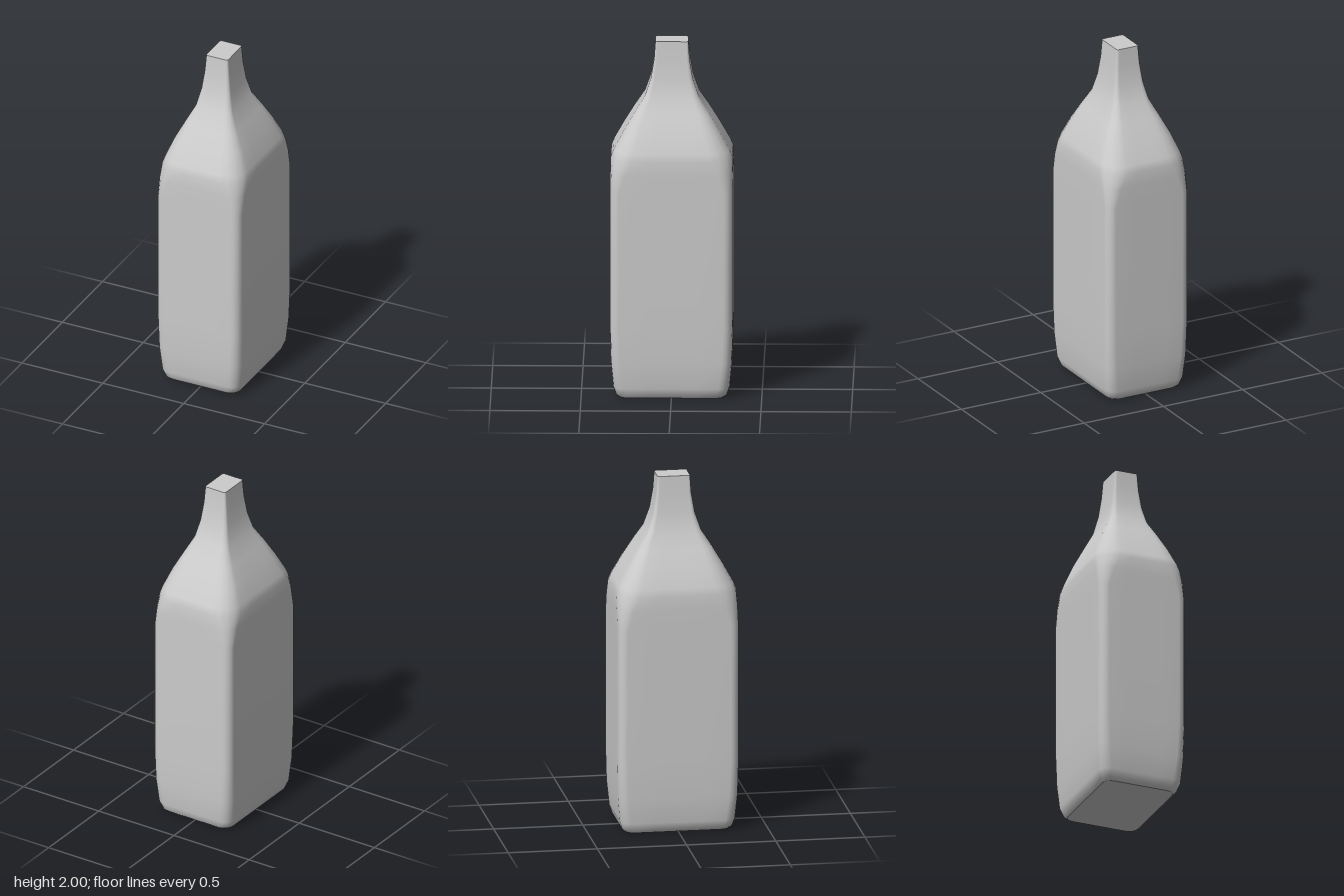
import * as THREE from 'three';

// Horizontal sections from the base up: height, half width, half depth, corner radius
const SECTIONS = [
  [0, 0.21, 0.29, 0.05],
  [0.015, 0.228, 0.307, 0.055],
  [0.06, 0.245, 0.322, 0.06],
  [0.2, 0.255, 0.335, 0.055],
  [0.4, 0.259, 0.339, 0.05],
  [0.8, 0.259, 0.339, 0.05],
  [1.17, 0.259, 0.339, 0.05],
  [1.28, 0.259, 0.339, 0.08],
  [1.36, 0.257, 0.337, 0.115],
  [1.4, 0.246, 0.322, 0.115],
  [1.5, 0.207, 0.267, 0.09],
  [1.6, 0.157, 0.208, 0.06],
  [1.69, 0.112, 0.15, 0.035],
  [1.79, 0.089, 0.116, 0.022],
  [1.9, 0.075, 0.098, 0.015],
  [2, 0.067, 0.091, 0.01],
];
const ARC = 4; // segments per rounded corner
const SIDE = 4; // segments along each flat side

// One rounded rectangle, running from +x towards +z
function ring([y, hx, hz, r]) {
  const corners = [];
  const signs = [[1, 1], [-1, 1], [-1, -1], [1, -1]];
  signs.forEach(([sx, sz], q) => {
    for (let i = 0; i <= ARC; i++) {
      const a = (q + i / ARC) * Math.PI / 2;
      corners.push(new THREE.Vector3(
        sx * (hx - r) + r * Math.cos(a), y, sz * (hz - r) + r * Math.sin(a)));
    }
  });
  const points = [];
  corners.forEach((p, i) => {
    points.push(p);
    if (i % (ARC + 1) === ARC) {
      const next = corners[(i + 1) % corners.length];
      for (let k = 1; k < SIDE; k++) points.push(p.clone().lerp(next, k / SIDE));
    }
  });
  return points;
}

function makeGeometry(positions, index) {
  const geometry = new THREE.BufferGeometry();
  geometry.setAttribute('position', new THREE.Float32BufferAttribute(positions, 3));
  geometry.setIndex(index);
  geometry.computeVertexNormals();
  return geometry;
}

// Smooth skin through all the sections
function loft(rings) {
  const n = rings[0].length;
  const index = [];
  for (let j = 0; j < rings.length - 1; j++) {
    for (let i = 0; i < n; i++) {
      const a = j * n + i, b = j * n + (i + 1) % n;
      index.push(a, a + n, b, b, a + n, b + n);
    }
  }
  return makeGeometry(rings.flat().flatMap((p) => p.toArray()), index);
}

// Flat fan closing one end
function cap(points, up) {
  const n = points.length;
  const index = [];
  for (let i = 0; i < n; i++) {
    const j = (i + 1) % n;
    index.push(n, up ? j : i, up ? i : j);
  }
  return makeGeometry([...points.flatMap((p) => p.toArray()), 0, points[0].y, 0], index);
}

export function createModel() {
  const model = new THREE.Group();
  model.name = 'bottle';
  const material = new THREE.MeshStandardMaterial({ color: 0xcccccc });
  const add = (name, geometry) => {
    const mesh = new THREE.Mesh(geometry, material);
    mesh.name = name;
    model.add(mesh);
  };

  const rings = SECTIONS.map(ring);
  // Body, sloping shoulders and neck as one skin
  add('bottleBody', loft(rings));
  // Closed ends
  add('bottleBase', cap(rings[0], false));
  add('neckTop', cap(rings[rings.length - 1], true));
  return model;
}
